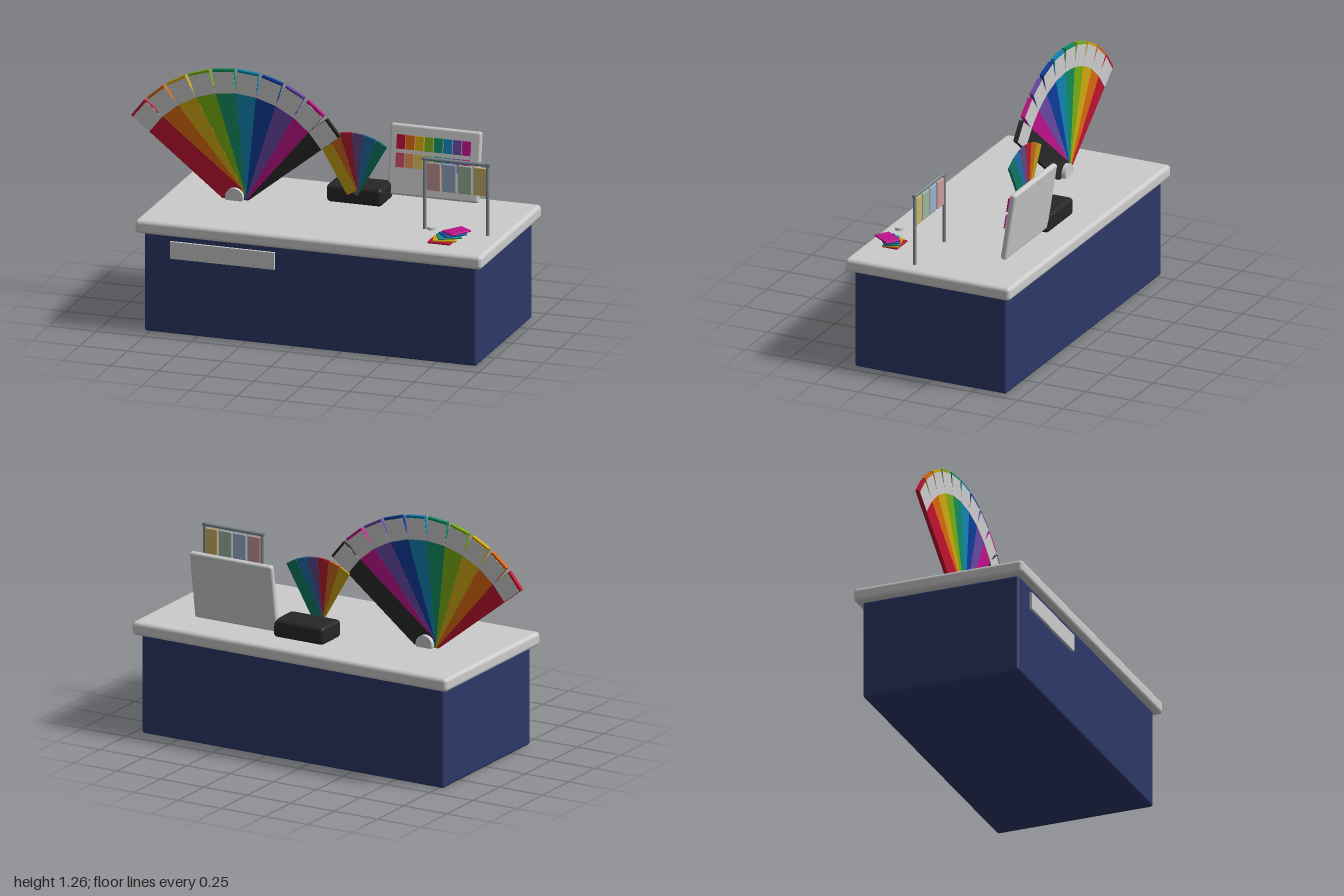
import * as THREE from 'three';
import { RoundedBoxGeometry } from 'three/addons/geometries/RoundedBoxGeometry.js';

const mat = (color = 0xcccccc) => new THREE.MeshStandardMaterial({ color });
const DEG = Math.PI / 180;

function add(parent, name, geometry, color, x = 0, y = 0, z = 0) {
  const mesh = new THREE.Mesh(geometry, mat(color));
  mesh.name = name;
  mesh.position.set(x, y, z);
  parent.add(mesh);
  return mesh;
}

function group(parent, name, x, y, z) {
  const g = new THREE.Group();
  g.name = name;
  g.position.set(x, y, z);
  parent.add(g);
  return g;
}

const box = (w, h, d) => new THREE.BoxGeometry(w, h, d);
const rounded = (w, h, d, r) => new RoundedBoxGeometry(w, h, d, 3, r);

// Straight blades turned about one pivot, first colour leftmost and in front
function fan(parent, name, pos, colors, spread, width, length, depth, label) {
  const g = group(parent, name, ...pos);
  colors.forEach((color, i) => {
    const blade = group(g, 'fanBlade', 0, 0, -i * 0.0006);
    blade.rotation.z = (spread - (2 * spread * i) / (colors.length - 1)) * DEG;
    add(blade, 'bladeStrip', box(width, length, depth), color, 0, length / 2);
    if (label) add(blade, 'bladeLabel', box(width - 0.002, 0.11, depth + 0.003), 0xcccccc, 0, length - 0.068);
  });
  return g;
}

export function createModel() {
  const root = new THREE.Group();
  root.name = 'colourSampleDesk';

  // Desk
  add(root, 'cabinet', rounded(1.74, 0.52, 0.835, 0.015), 0x2c3868, 0.09, 0.26, 0);
  add(root, 'tabletop', rounded(1.815, 0.07, 0.907, 0.02), 0xcccccc, 0.09, 0.548, 0);
  add(root, 'frontPlate', box(0.545, 0.088, 0.02), 0xcccccc, -0.367, 0.438, 0.421);

  // Large colour fan with its pivot
  const big = fan(root, 'largeColourFan', [-0.457, 0.6, -0.032],
    [0xbe1230, 0xd9670f, 0xcfa810, 0x78ad14, 0x108c60, 0x1083b3, 0x0e3c99, 0x6747a3, 0xbe1289, 0x282828],
    51.5, 0.11, 0.653, 0.02, true);
  const pivot = add(big, 'fanPivot', new THREE.CylinderGeometry(0.046, 0.046, 0.07, 32), 0xcccccc, 0, 0, -0.003);
  pivot.rotation.x = Math.PI / 2;

  // Small fan in front of its dark base
  add(root, 'fanBase', rounded(0.29, 0.092, 0.178, 0.02), 0x262626, 0.125, 0.63, -0.22);
  fan(root, 'smallColourFan', [0.126, 0.656, -0.108],
    [0xc29c14, 0xc2641a, 0xb01c30, 0x5c4788, 0x1c6ba3, 0x107560], 30, 0.06, 0.308, 0.012, false);

  // Tilted display board with two rows of swatches
  const board = group(root, 'displayBoard', 0.488, 0.786, -0.311);
  board.rotation.x = -9 * DEG;
  add(board, 'boardPanel', rounded(0.475, 0.357, 0.032, 0.012));
  const rows = [
    [0xbe1230, 0xd9670f, 0xcfa810, 0x78ad14, 0x108c60, 0x1083b3, 0x6747a3, 0xbe1289],
    [0xc94a62, 0xd98a50, 0xcfb653, 0x95b653, 0x50a284, 0x509dbb, 0x8a74b3, 0xbe509c],
  ];
  rows.forEach((row, r) => row.forEach((color, c) =>
    add(board, 'boardSwatch', box(0.044, 0.072, 0.006), color, (c - 3.5) * 0.049, 0.094 - r * 0.092, 0.037)));

  // Rack with hanging cards
  const rack = group(root, 'sampleRack', 0.746, 0, 0.11);
  for (const side of [-1, 1])
    add(rack, 'rackPost', new THREE.CylinderGeometry(0.009, 0.009, 0.375, 16), 0x7c868e, side * 0.165, 0.768);
  const rail = add(rack, 'rackRail', new THREE.CylinderGeometry(0.009, 0.009, 0.355, 16), 0x7c868e, 0, 0.947);
  rail.rotation.z = Math.PI / 2;
  [0xc89a9c, 0x9ab0c8, 0x9eb69e, 0xc8b46c].forEach((color, i) =>
    add(rack, 'hangingCard', rounded(0.074, 0.145, 0.012, 0.005), color, (i - 1.5) * 0.082 + 0.005, 0.858));

  // Twisted stack of loose cards and a small knob
  const stack = group(root, 'cardStack', 0.737, 0.594, 0.305);
  [0xbe1230, 0xcfa810, 0x108c80, 0x0e4c99, 0xbe1289].forEach((color, i) => {
    const card = add(stack, 'looseCard', rounded(0.12, 0.01, 0.084, 0.004), color, i * 0.02, i * 0.0152, 0);
    card.rotation.y = i * 14 * DEG;
  });
  add(stack, 'stackKnob', new THREE.CylinderGeometry(0.022, 0.022, 0.014, 24), 0xcccccc, -0.052, 0.064, 0);

  return root;
}
